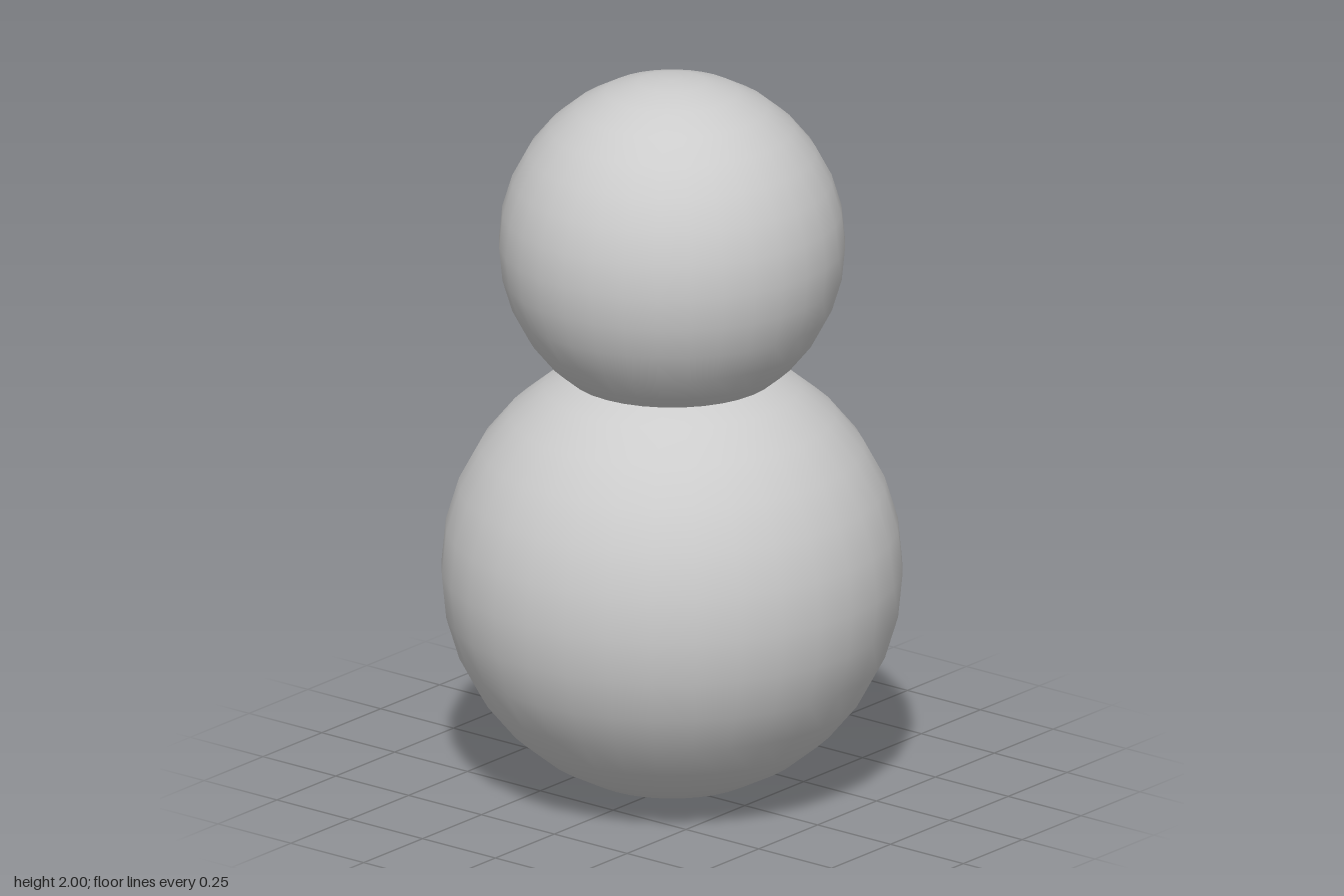
import * as THREE from 'three';

export function createModel() {
  const model = new THREE.Group();
  model.name = 'stackedSpheres';
  const material = new THREE.MeshStandardMaterial({ color: 0xcccccc });

  const addBall = (name, radius, y) => {
    const ball = new THREE.Mesh(new THREE.SphereGeometry(radius, 32, 16), material);
    ball.name = name;
    ball.position.y = y;
    model.add(ball);
  };

  // Large ball on the ground, smaller one sunk into its top
  addBall('body', 0.618, 0.618);
  addBall('head', 0.464, 1.536);

  return model;
}
